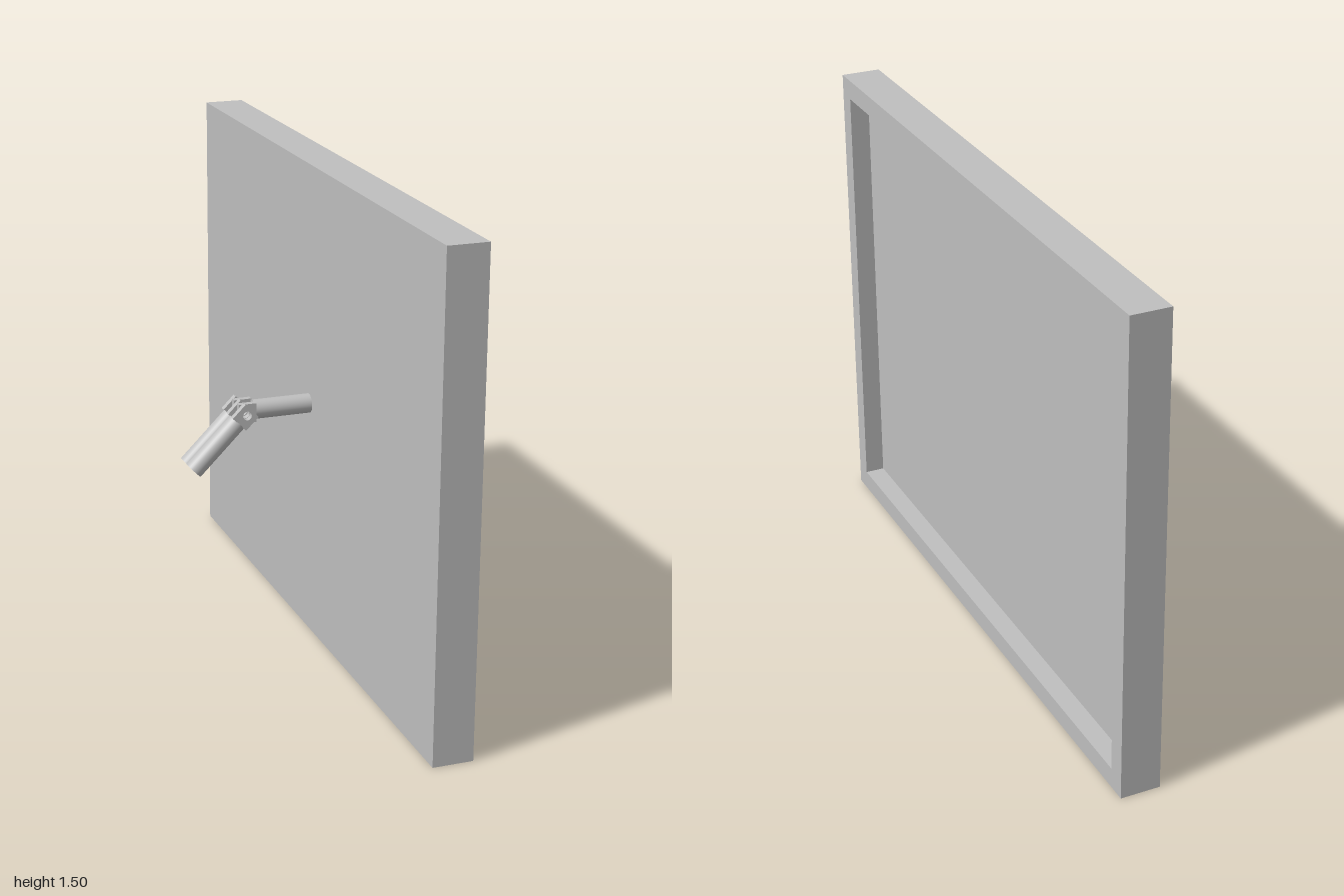
import * as THREE from 'three';

export function createModel() {
  const model = new THREE.Group();
  const grey = new THREE.MeshStandardMaterial({ color: 0xbfbfbf });
  grey.name = 'plain grey';

  const add = (parent, geometry, name, x = 0, y = 0, z = 0) => {
    const mesh = new THREE.Mesh(geometry, grey);
    mesh.name = name;
    mesh.position.set(x, y, z);
    parent.add(mesh);
    return mesh;
  };

  const rectangle = (Type, x0, y0, x1, y1) => {
    const path = new Type();
    path.moveTo(x0, y0);
    path.lineTo(x1, y0);
    path.lineTo(x1, y1);
    path.lineTo(x0, y1);
    path.closePath();
    return path;
  };

  // Upright panel with a raised rim around its recessed face
  add(model, new THREE.BoxGeometry(0.062, 1.5, 2), 'backPanel', 0.169, 0.75, 0);
  const rimShape = rectangle(THREE.Shape, -1, 0, 1, 1.5);
  rimShape.holes.push(rectangle(THREE.Path, -0.94, 0.063, 0.94, 1.437));
  const rimGeometry = new THREE.ExtrudeGeometry(rimShape, { depth: 0.062, bevelEnabled: false });
  rimGeometry.rotateY(Math.PI / 2);
  add(model, rimGeometry, 'frameRim', 0.2, 0, 0);

  // Hinge prong with a pin hole, centred on the pivot
  const prong = (thickness) => {
    const shape = rectangle(THREE.Shape, -0.02, -0.03, 0.036, 0.03);
    const hole = new THREE.Path();
    hole.absarc(0, 0, 0.014, 0, Math.PI * 2, true);
    shape.holes.push(hole);
    const geometry = new THREE.ExtrudeGeometry(shape, {
      depth: thickness, bevelEnabled: false, curveSegments: 24,
    });
    return geometry.translate(0, 0, -thickness / 2);
  };

  // Rod running along +x, away from the pivot
  const rod = (radius, start, end) => {
    const geometry = new THREE.CylinderGeometry(radius, radius, end - start, 32);
    return geometry.rotateZ(Math.PI / 2).translate((start + end) / 2, 0, 0);
  };

  // Level arm with two prongs
  const levelArm = new THREE.Group();
  levelArm.name = 'levelArm';
  levelArm.position.set(-0.08, 0.752, 0);
  add(levelArm, rod(0.03, 0.034, 0.222), 'levelRod');
  for (const side of [-1, 1]) {
    add(levelArm, prong(0.019), 'levelProng', 0, 0, side * 0.024);
  }
  model.add(levelArm);

  // Sloping handle: two rods side by side with three prongs
  const handle = new THREE.Group();
  handle.name = 'slopingHandle';
  handle.position.copy(levelArm.position);
  handle.rotation.z = -Math.PI * 0.75;
  for (const side of [-1, 1]) {
    add(handle, rod(0.029, 0.034, 0.233), 'handleRod', 0, 0, side * 0.028);
  }
  for (const offset of [-0.045, 0, 0.045]) {
    add(handle, prong(0.019), 'handleProng', 0, 0, offset);
  }
  model.add(handle);

  return model;
}
